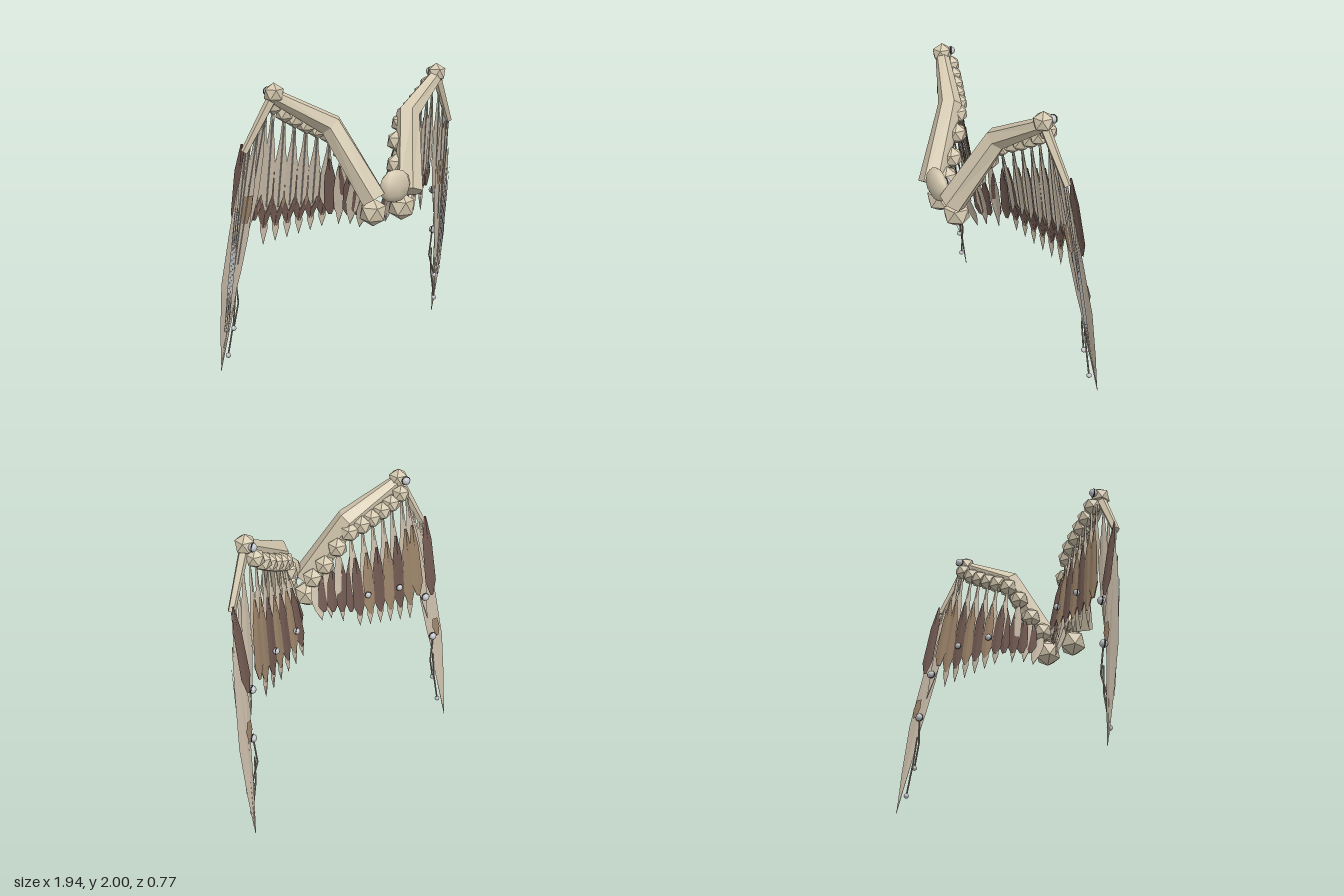
import * as THREE from 'three';

const mat = (name, color, side = THREE.FrontSide) => {
  const m = new THREE.MeshStandardMaterial({ color, side });
  m.name = name;
  return m;
};

export function createModel() {
  const D = THREE.DoubleSide;
  const bone = mat('bone', 0xd4c8af);
  const paleFeather = mat('pale feather', 0xc8bba8, D);
  const darkFeather = mat('dark brown feather', 0x6f5850, D);
  const midFeather = mat('mid brown feather', 0x9a8268, D);
  const greyFeather = mat('grey feather', 0xc2c1c3, D);
  const cord = mat('cord', 0x968d7c);
  const silver = mat('silver', 0xc4c7cc);
  const black = mat('dark ring', 0x2c2a2a);

  const model = new THREE.Group();
  const V = (x, y, z) => new THREE.Vector3(x, y, z);
  const add = (parent, name, geo, material, p) => {
    const m = new THREE.Mesh(geo, material);
    m.name = name;
    if (p) m.position.copy(p);
    parent.add(m);
    return m;
  };
  const faceted = (verts, idx) => {
    const g = new THREE.BufferGeometry();
    g.setAttribute('position', new THREE.Float32BufferAttribute(verts.flatMap(v => v.toArray()), 3));
    g.setIndex(idx);
    const f = g.toNonIndexed();
    f.computeVertexNormals();
    return f;
  };

  // Faceted rod through points, with one radius per point
  const rod = (pts, radii, sides = 6) => {
    const verts = [], idx = [], n = pts.length;
    pts.forEach((p, i) => {
      const t = pts[Math.min(i + 1, n - 1)].clone().sub(pts[Math.max(i - 1, 0)]).normalize();
      const u = V(0, 0, 1).cross(t).normalize();
      const v = t.clone().cross(u);
      for (let k = 0; k < sides; k++) {
        const a = (k / sides) * Math.PI * 2;
        verts.push(p.clone().addScaledVector(u, radii[i] * Math.cos(a)).addScaledVector(v, radii[i] * Math.sin(a)));
      }
    });
    for (let i = 0; i < n - 1; i++) for (let k = 0; k < sides; k++) {
      const a = i * sides + k, b = i * sides + (k + 1) % sides;
      idx.push(a, b, b + sides, a, b + sides, a + sides);
    }
    const end = (n - 1) * sides;
    for (let k = 1; k < sides - 1; k++) idx.push(0, k + 1, k, end, end + k, end + k + 1);
    return faceted(verts, idx);
  };

  // Ridged blade from root to tip; profile rows are [position along, half width]
  const blade = (root, tip, across, profile, ridge = 0.006) => {
    const verts = [], idx = [];
    const dir = tip.clone().sub(root);
    const back = across.clone().cross(dir).normalize();
    if (back.z > 0) back.negate();
    profile.forEach(([t, w]) => {
      const c = root.clone().addScaledVector(dir, t);
      verts.push(c.clone().addScaledVector(across, -w), c.clone().addScaledVector(back, ridge),
        c.clone().addScaledVector(across, w));
    });
    for (let i = 0; i < profile.length - 1; i++) for (let k = 0; k < 2; k++) {
      const a = i * 3 + k;
      idx.push(a, a + 1, a + 4, a, a + 4, a + 3);
    }
    return faceted(verts, idx);
  };

  const knob = r => new THREE.IcosahedronGeometry(r, 0).rotateZ(Math.atan(0.618));
  const FRONT = [[0, 0.008], [0.25, 0.018], [0.5, 0.041], [0.84, 0.038], [1, 0.003]];
  const BACK = [[0, 0.008], [0.3, 0.038], [0.82, 0.045], [1, 0.012]];
  const UNDER = [[0, 0.02], [0.4, 0.044], [1, 0.011]];
  const POINT = [[0, 0.024], [0.25, 0.026], [1, 0.001]];
  const LONG = [[0, 0.008], [0.12, 0.018], [0.28, 0.038], [0.55, 0.05], [0.75, 0.036], [1, 0.001]];

  // Centre piece with a small clasp behind
  add(model, 'centrePiece', new THREE.SphereGeometry(1, 8, 6), bone, V(0, 1.31, 0.325)).scale.set(0.128, 0.112, 0.056);
  add(model, 'claspStud', new THREE.SphereGeometry(0.03, 10, 8), silver, V(0, 1.31, 0.258));
  add(model, 'claspRing', new THREE.TorusGeometry(0.03, 0.006, 6, 16), black, V(0, 1.31, 0.262));

  for (const s of [1, -1]) {
    const wing = new THREE.Group();
    wing.name = s > 0 ? 'leftWing' : 'rightWing';
    model.add(wing);
    const P = (x, y, z) => V(s * x, y, z);
    const across = P(1, 0, -0.22).normalize();

    // Arm and finger bones with their joints
    add(wing, 'armBone', rod([P(0.15, 1.24, 0.293), P(0.32, 1.71, 0.06), P(0.67, 1.92, -0.06)], [0.092, 0.08, 0.046]), bone);
    add(wing, 'fingerBone', rod([P(0.675, 1.92, -0.06), P(0.855, 1.57, -0.13)], [0.034, 0.025], 5), bone);
    add(wing, 'wristJoint', knob(0.07), bone, P(0.67, 1.934, -0.06));
    add(wing, 'shoulderJoint', knob(0.097), bone, P(0.12, 1.135, 0.245));

    // Row of knobs behind the arm
    const knobs = [
      P(0.12, 1.28, 0.19), P(0.17, 1.39, 0.125), P(0.225, 1.53, 0.06), P(0.295, 1.64, 0.015), P(0.365, 1.68, -0.025),
      P(0.435, 1.715, -0.05), P(0.505, 1.755, -0.075), P(0.57, 1.795, -0.095), P(0.64, 1.85, -0.115)];
    knobs.forEach((p, i) => add(wing, 'armKnob' + (i + 1), knob(0.076 - i * 0.0015), bone, p));

    // Layered feather: pale face, brown back and underside, pale point below
    const feather = (name, root, tip, brown, pointed) => {
      const at = (t, dz) => root.clone().lerp(tip, t).add(V(0, 0, dz));
      add(wing, name + 'Back', blade(at(0.26, -0.02), at(0.88, -0.014), across, BACK), brown);
      add(wing, name + 'Under', blade(at(0.68, -0.008), at(0.88, -0.006), across, UNDER), darkFeather);
      add(wing, name + 'Front', blade(root, at(0.77, 0), across, FRONT), paleFeather);
      add(wing, name + 'Shaft', rod([at(0.1, 0.005), at(0.72, 0.005)], [0.004, 0.004], 3), greyFeather);
      if (pointed) add(wing, name + 'Point', blade(at(0.85, -0.01), tip, across, POINT, 0.003), paleFeather);
    };
    for (let i = 0; i < 6; i++)
      feather('feather' + (i + 1), knobs[3 + i],
        P(0.27 + 0.082 * i, 0.975 - 0.015 * i, -0.127 - 0.0187 * i), i % 2 ? midFeather : darkFeather, true);
    feather('feather7', P(0.69, 1.84, -0.12), P(0.745, 0.97, -0.24), midFeather, false);

    // Short inner feathers
    [[0.11, 0.99, 0.085], [0.155, 1.01, 0.04], [0.2, 1.0, -0.03]].forEach((tip, i) =>
      add(wing, 'innerPaleFeather' + (i + 1), blade(knobs[i], P(...tip), across, LONG), paleFeather));
    for (let i = 0; i < 4; i++)
      add(wing, 'innerBrownFeather' + (i + 1), blade(P(0.14 + 0.05 * i, 1.32 + 0.05 * i, 0.12 - 0.04 * i),
        P(0.11 + 0.045 * i, 1.07, 0.062 - 0.042 * i), across, BACK), darkFeather);
    add(wing, 'outerBrownFeather', blade(P(0.86, 1.62, -0.15), P(0.855, 1.04, -0.262), across, BACK), darkFeather);

    // Long feathers below the finger
    const roots = [P(0.72, 1.8, -0.09), P(0.77, 1.72, -0.1), P(0.82, 1.63, -0.12), P(0.85, 1.57, -0.13)];
    const tips = [P(0.835, 0.85, -0.25), P(0.91, 0.4, -0.31), P(0.94, 0.18, -0.345), P(0.945, 0, -0.38)];
    roots.forEach((r, i) => {
      add(wing, 'longFeather' + (i + 1), blade(r, tips[i], across, LONG, 0.005), paleFeather);
      const off = V(0, 0, 0.008);
      add(wing, 'longShaft' + (i + 1), rod([r.clone().add(off), r.clone().lerp(tips[i], 0.7).add(off)], [0.003, 0.003], 3), greyFeather);
    });
    add(wing, 'outerFeather', blade(P(0.89, 1.35, -0.165), P(0.948, 0.05, -0.372), across,
      [[0, 0.004], [0.25, 0.03], [0.53, 0.051], [0.8, 0.028], [1, 0.001]], 0.003), paleFeather);
    // Grey strips on the front of the outer feather
    for (const k of [0, 1, 2])
      add(wing, 'greyStrip' + (k + 1), blade(P(0.882 + 0.014 * k, 1.2, -0.172), P(0.92 + 0.014 * k, 0.3, -0.312), across,
        [[0, 0.001], [0.35, 0.006], [0.65, 0.006], [1, 0.001]], 0.001), greyFeather);
    add(wing, 'brownBand', blade(P(0.815, 1.27, -0.162), P(0.835, 1.08, -0.192), across,
      [[0, 0.03], [0.5, 0.034], [1, 0.02]], 0.002), midFeather);
    add(wing, 'rearBrownBand', blade(P(0.88, 0.84, -0.282), P(0.895, 0.7, -0.304), across,
      [[0, 0.02], [0.5, 0.03], [1, 0.012]], 0.002), midFeather);

    // Silver beads with dark rings
    [[0.57, 1.19, -0.205, 0.022], [0.33, 1.2, -0.135, 0.022], [0.81, 1.03, -0.242, 0.027], [0.86, 0.7, -0.29, 0.027],
      [0.67, 1.94, -0.13, 0.028]].forEach(([x, y, z, r], i) => {
      add(wing, 'bead' + (i + 1), new THREE.SphereGeometry(r, 10, 8), silver, P(x, y, z));
      add(wing, 'beadRing' + (i + 1), new THREE.TorusGeometry(r * 0.95, r * 0.15, 6, 14), black, P(x, y, z)).rotation.y = 0.5 * s;
    });

    // Dangling cords with small end beads
    const cords = [
      [P(0.86, 0.7, -0.292), P(0.838, 0.5, -0.3), P(0.885, 0.33, -0.292)],
      [P(0.86, 0.55, -0.3), P(0.872, 0.36, -0.315), P(0.917, 0.13, -0.325)]];
    cords.forEach((pts, i) => {
      add(wing, 'cord' + (i + 1), rod(pts, [0.006, 0.006, 0.006], 5), cord);
      add(wing, 'cordBead' + (i + 1), new THREE.SphereGeometry(0.018, 8, 6), silver, pts[2]);
    });
  }
  return model;
}
